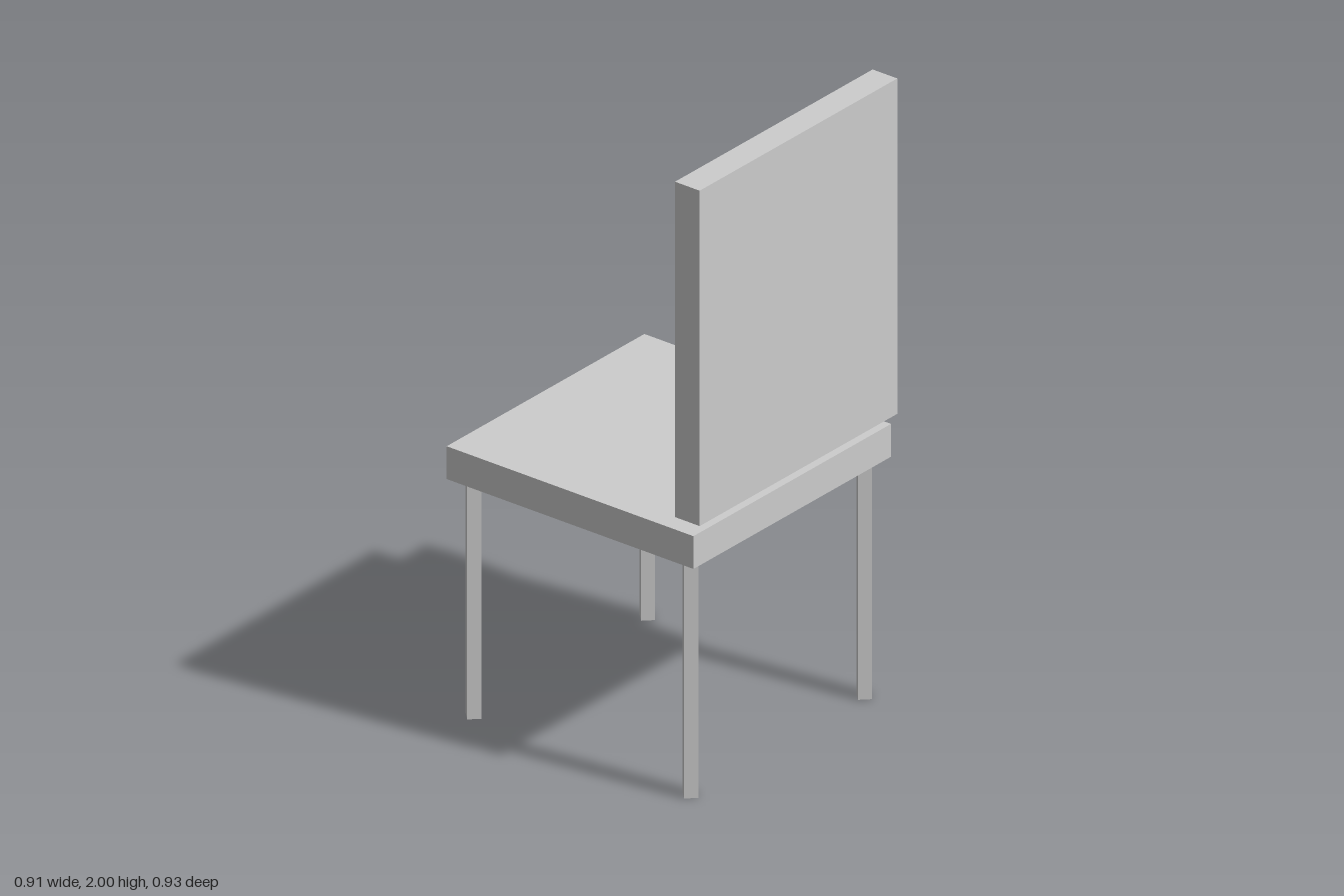
import * as THREE from 'three';

export function createModel() {
  const chair = new THREE.Group();
  chair.name = 'chair';

  const grey = new THREE.MeshStandardMaterial({ color: 0xcccccc });
  grey.name = 'grey';

  const WIDTH = 0.91;
  const SEAT_Z = -0.011;
  const SEAT_BOTTOM = 0.77;

  const add = (name, geometry, x, y, z) => {
    const mesh = new THREE.Mesh(geometry, grey);
    mesh.name = name;
    mesh.position.set(x, y, z);
    chair.add(mesh);
  };

  // Square seat slab
  add('seat', new THREE.BoxGeometry(WIDTH, 0.106, WIDTH), 0, SEAT_BOTTOM + 0.053, SEAT_Z);

  // Upright backrest, floating just above the seat
  add('backrest', new THREE.BoxGeometry(WIDTH, 1.084, 0.091), 0, 1.458, 0.4215);

  // Four-sided legs, turned with an edge to the front
  const leg = new THREE.CylinderGeometry(0.029, 0.029, SEAT_BOTTOM, 4).toNonIndexed();
  leg.computeVertexNormals();
  for (const [xName, x] of [['Left', 0.4], ['Right', -0.4]]) {
    for (const [zName, z] of [['front', 0.4], ['rear', -0.4]]) {
      add(`${zName}${xName}Leg`, leg, x, SEAT_BOTTOM / 2, SEAT_Z + z);
    }
  }

  return chair;
}
